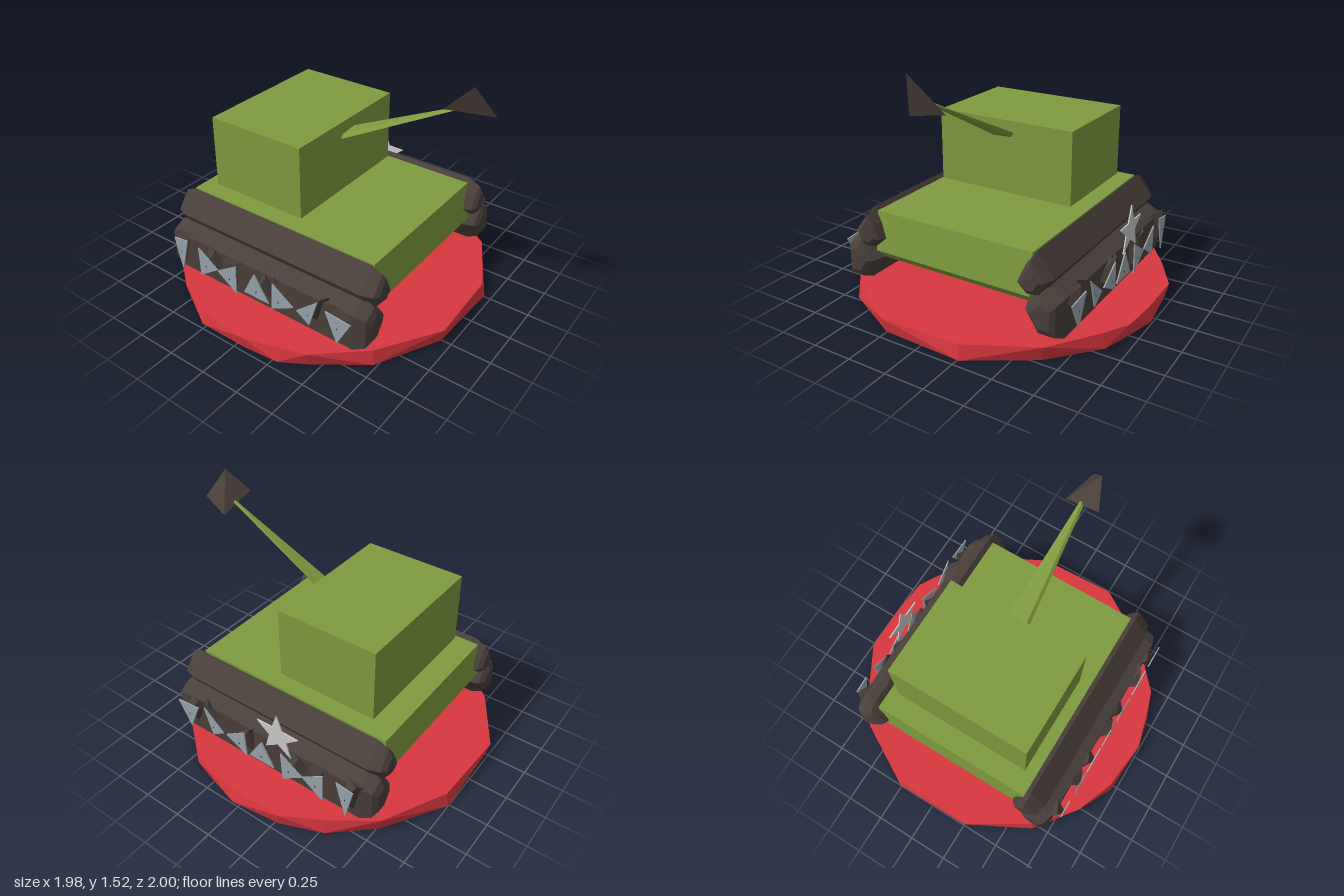
import * as THREE from 'three';
import { ConvexGeometry } from 'three/addons/geometries/ConvexGeometry.js';

const material = (name, color) => {
  const m = new THREE.MeshStandardMaterial({ color, flatShading: true });
  m.name = name;
  return m;
};

export function createModel() {
  const model = new THREE.Group();
  model.name = 'toyTank';
  const red = material('red', 0xd8383f);
  const green = material('green', 0x7f9b40);
  const brown = material('darkBrown', 0x4a403b);
  const grey = material('blueGrey', 0x9ba5ad);
  const pale = material('paleGrey', 0xcdcdcd);

  const add = (name, geometry, mat, parent = model) => {
    const mesh = new THREE.Mesh(geometry, mat);
    mesh.name = name;
    parent.add(mesh);
    return mesh;
  };
  // Faceted solid around a handful of corner points
  const solid = (points) => new ConvexGeometry(points.map((p) => new THREE.Vector3(...p)));
  // Thin plate facing sideways, outlined by [z, y] points
  const plate = (name, points, x, mat, parent) => {
    const shape = new THREE.Shape(points.map(([z, y]) => new THREE.Vector2(-z, y)));
    const geometry = new THREE.ExtrudeGeometry(shape, { depth: 0.008, bevelEnabled: false });
    geometry.rotateY(Math.PI / 2).translate(x - 0.004, 0, 0);
    return add(name, geometry, mat, parent);
  };

  // Base disc: the rim corners lean in and out alternately
  const half = [[0.26, -1], [0.65, -0.78], [0.85, -0.53], [0.97, -0.28], [0.99, 0.05],
    [0.95, 0.28], [0.88, 0.44], [0.65, 0.73], [0.26, 0.955]];
  const rim = [...half, ...half.map(([x, z]) => [-x, z]).reverse()];
  add('base', solid(rim.flatMap(([x, z], i) => {
    const top = i % 2 ? 1 : 0.98, bottom = i % 2 ? 0.98 : 1;
    return [[x * top, 0.09, z * top], [x * bottom, 0, z * bottom]];
  })), red);

  // Hull with a slightly undercut nose and tail
  const hullProfile = [[0.64, 0.58], [0.67, 0.33], [0.63, 0.28], [-0.67, 0.28], [-0.73, 0.35], [-0.71, 0.58]];
  add('hull', solid(hullProfile.flatMap(([z, y]) => {
    const w = y < 0.3 ? 0.5 : 0.53;
    return [[w, y, z], [-w, y, z]];
  })), green);

  // Turret
  add('turret', new THREE.BoxGeometry(0.92, 0.46, 0.66).translate(0, 0.85, -0.25), green);

  // Flat tapering gun barrel with a pointed tip
  add('barrel', solid([
    [-0.07, 0.975, 0.08], [0.07, 1.01, 0.08], [-0.05, 1.0, 0.08], [0.05, 0.98, 0.08],
    [-0.015, 1.345, 0.79], [0.015, 1.35, 0.79], [0, 1.36, 0.79],
  ]), green);
  add('barrelTip', solid([
    [-0.05, 1.52, 0.9], [-0.12, 1.385, 0.765], [0.105, 1.3, 0.79], [0.04, 1.34, 1.0],
  ]), brown);

  // Tracks: an upper and a lower bar per side, rounded off at both ends
  const upper = [[0.56, 0.6], [0.5, 0.52], [0.455, 0.42], [0.53, 0.35], [0.61, 0.36], [0.665, 0.46]];
  const lower = [[0.62, 0.42], [0.5, 0.28], [0.6, 0.125], [0.73, 0.125], [0.73, 0.36]];
  const ends = [[0.64, 1], [0.71, 0.78], [0.73, 0.5], [-0.68, 1], [-0.75, 0.78], [-0.775, 0.5]];
  const bar = (section, side) => {
    const cx = section.reduce((s, p) => s + p[0], 0) / section.length;
    const cy = section.reduce((s, p) => s + p[1], 0) / section.length;
    return solid(ends.flatMap(([z, k]) =>
      section.map(([x, y]) => [side * (cx + (x - cx) * k), cy + (y - cy) * k, z])));
  };

  // Tooth outlines along the tracks, as [z, y] corners
  const teeth = [
    [[0.66, 0.34], [0.49, 0.355], [0.57, 0.17]],
    [[0.44, 0.39], [0.29, 0.26], [0.38, 0.2]],
    [[0.115, 0.365], [0.105, 0.18], [0.265, 0.265]],
    [[-0.02, 0.37], [-0.105, 0.205], [0.085, 0.205]],
    [[-0.16, 0.36], [-0.17, 0.16], [-0.315, 0.26]],
    [[-0.465, 0.365], [-0.46, 0.165], [-0.315, 0.265]],
    [[-0.555, 0.375], [-0.67, 0.36], [-0.62, 0.14]],
  ];
  for (const side of [1, -1]) {
    const track = new THREE.Group();
    track.name = side > 0 ? 'leftTrack' : 'rightTrack';
    model.add(track);
    add('upperBar', bar(upper, side), brown, track);
    add('lowerBar', bar(lower, side), brown, track);
    teeth.forEach((tooth, i) => {
      // Dark shard behind each tooth, its point just breaking through
      const cz = tooth.reduce((s, p) => s + p[0], 0) / 3;
      const cy = tooth.reduce((s, p) => s + p[1], 0) / 3;
      const lean = (i % 2 ? 1 : -1) * 0.03;
      add('shard', solid([
        ...tooth.map(([z, y]) => [side * 0.71, cy + (y - cy) * 1.05, cz + (z - cz) * 1.05 + lean]),
        [side * 0.785, cy - 0.02, cz], [side * 0.755, cy + 0.1, cz + lean * 2],
      ]), brown, track);
      plate('tooth', tooth, side * 0.777, grey, track);
    });
  }

  // Star plate on the left side only
  const star = Array.from({ length: 10 }, (_, i) => {
    const r = i % 2 ? 0.065 : 0.157, a = Math.PI / 2 + (i * Math.PI) / 5;
    return [-0.13 + r * Math.cos(a), 0.465 + r * Math.sin(a)];
  });
  plate('star', star, 0.757, pale, model);

  return model;
}
